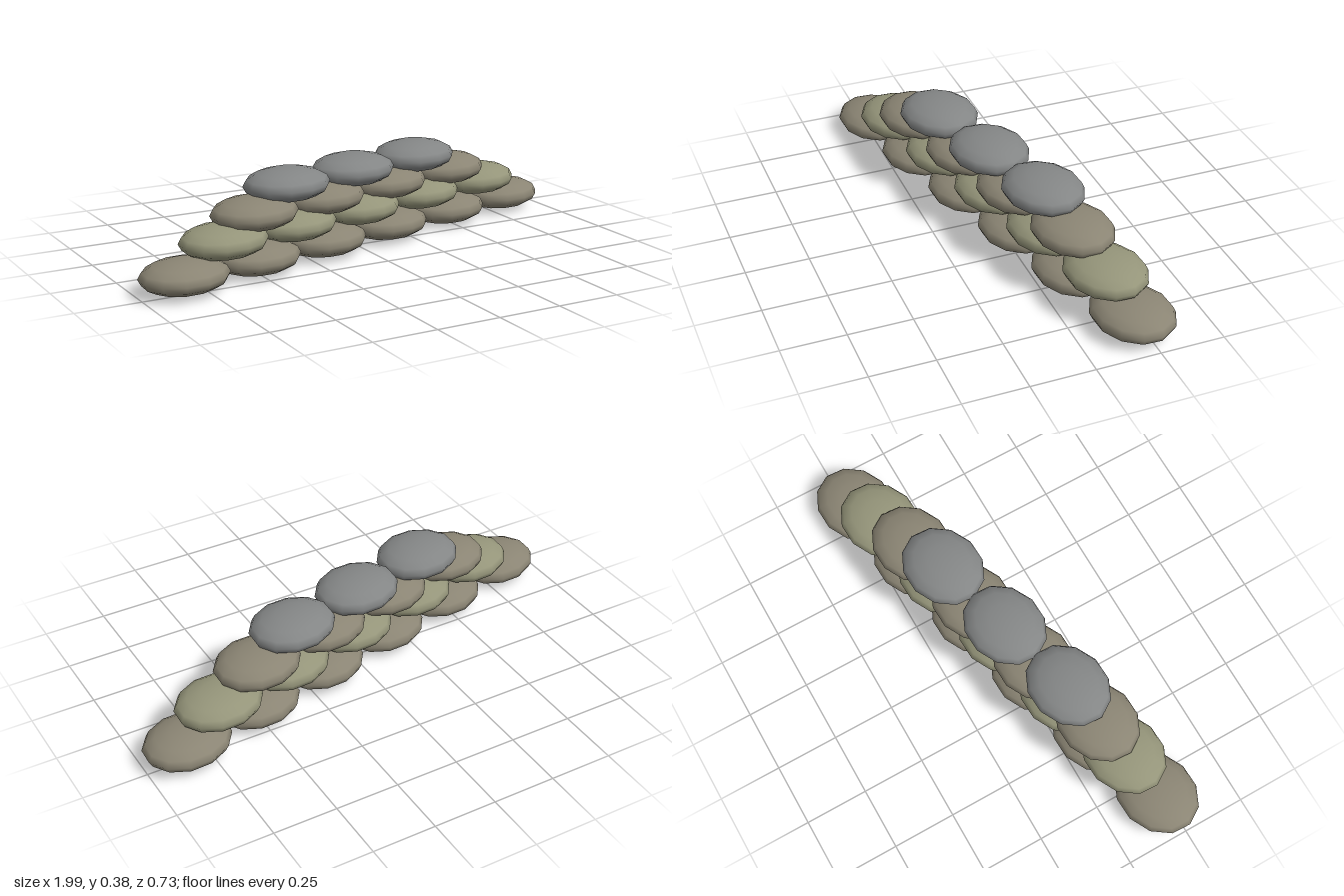
import * as THREE from 'three';

export function createModel() {
  const model = new THREE.Group();
  model.name = 'sandbagWall';

  const bag = new THREE.SphereGeometry(1, 12, 8);
  bag.scale(0.177, 0.0625, 0.148);

  const tan = new THREE.MeshStandardMaterial({ color: 0x8b8574 });
  const olive = new THREE.MeshStandardMaterial({ color: 0x95957a });
  const grey = new THREE.MeshStandardMaterial({ color: 0x848686 });

  // Each course: number of bags, height, shift along the wall
  const courses = [
    { count: 6, y: 0.064, shift: 0, material: tan },
    { count: 5, y: 0.157, shift: 0.013, material: olive },
    { count: 4, y: 0.234, shift: -0.01, material: tan },
    { count: 3, y: 0.315, shift: -0.02, material: grey },
  ];
  const spacing = 0.341;

  courses.forEach(({ count, y, shift, material }, row) => {
    const course = new THREE.Group();
    course.name = `course${row + 1}`;
    for (let i = 0; i < count; i++) {
      const mesh = new THREE.Mesh(bag, material);
      mesh.name = `sandbag${i + 1}`;
      mesh.position.set((i - (count - 1) / 2) * spacing + shift, y, 0);
      course.add(mesh);
    }
    model.add(course);
  });

  // The wall runs diagonally
  model.rotation.y = 0.26;
  const root = new THREE.Group();
  root.name = 'sandbagBarrier';
  root.add(model);
  return root;
}
